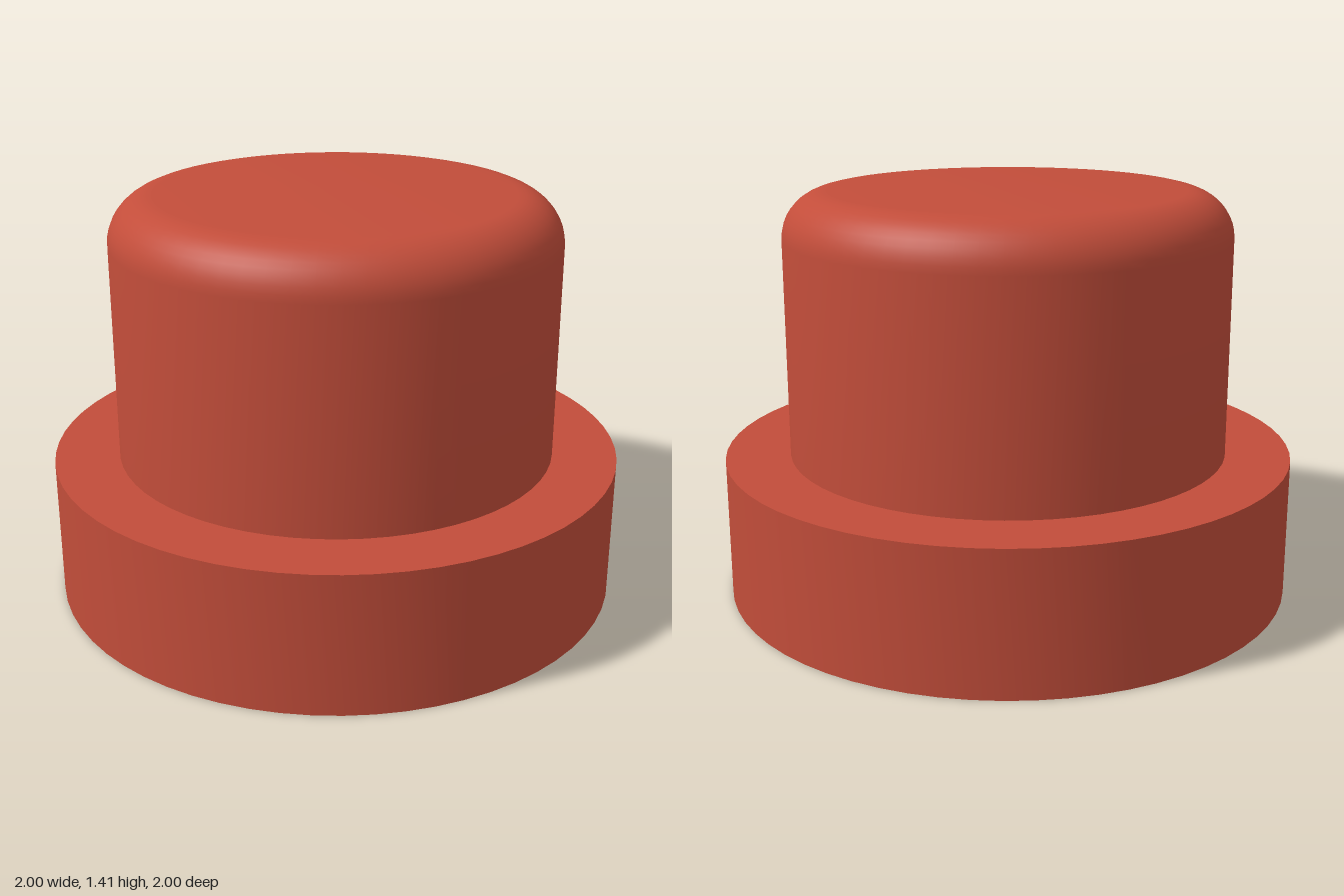
import * as THREE from 'three';
import { toCreasedNormals } from 'three/addons/utils/BufferGeometryUtils.js';

const SEGMENTS = 64;

// Revolve a profile (bottom to top), keeping its corners sharp
function turned(name, profile, material) {
  const points = profile.map(([r, y]) => new THREE.Vector2(r, y));
  const geometry = toCreasedNormals(new THREE.LatheGeometry(points, SEGMENTS), Math.PI / 6);
  const mesh = new THREE.Mesh(geometry, material);
  mesh.name = name;
  return mesh;
}

export function createModel() {
  const group = new THREE.Group();
  group.name = 'steppedPlug';
  const red = new THREE.MeshStandardMaterial({ color: 0xc24d3a });
  red.name = 'brick red';

  const baseRadius = 1, baseTop = 0.49;
  const holeRadius = 0.4, holeDepth = 0.075;
  const capRadius = 0.775, capTop = 1.41, fillet = 0.16;

  // Wide base with a shallow round recess underneath
  group.add(turned('base', [
    [0, holeDepth], [holeRadius, holeDepth], [holeRadius, 0],
    [baseRadius, 0], [baseRadius, baseTop], [capRadius, baseTop],
  ], red));

  // Narrower cap with a rounded top edge
  const cap = [[capRadius, baseTop]];
  const steps = 10;
  for (let i = 0; i <= steps; i++) {
    const a = (i / steps) * Math.PI / 2;
    cap.push([capRadius - fillet + fillet * Math.cos(a), capTop - fillet + fillet * Math.sin(a)]);
  }
  cap.push([0, capTop]);
  group.add(turned('cap', cap, red));

  return group;
}
